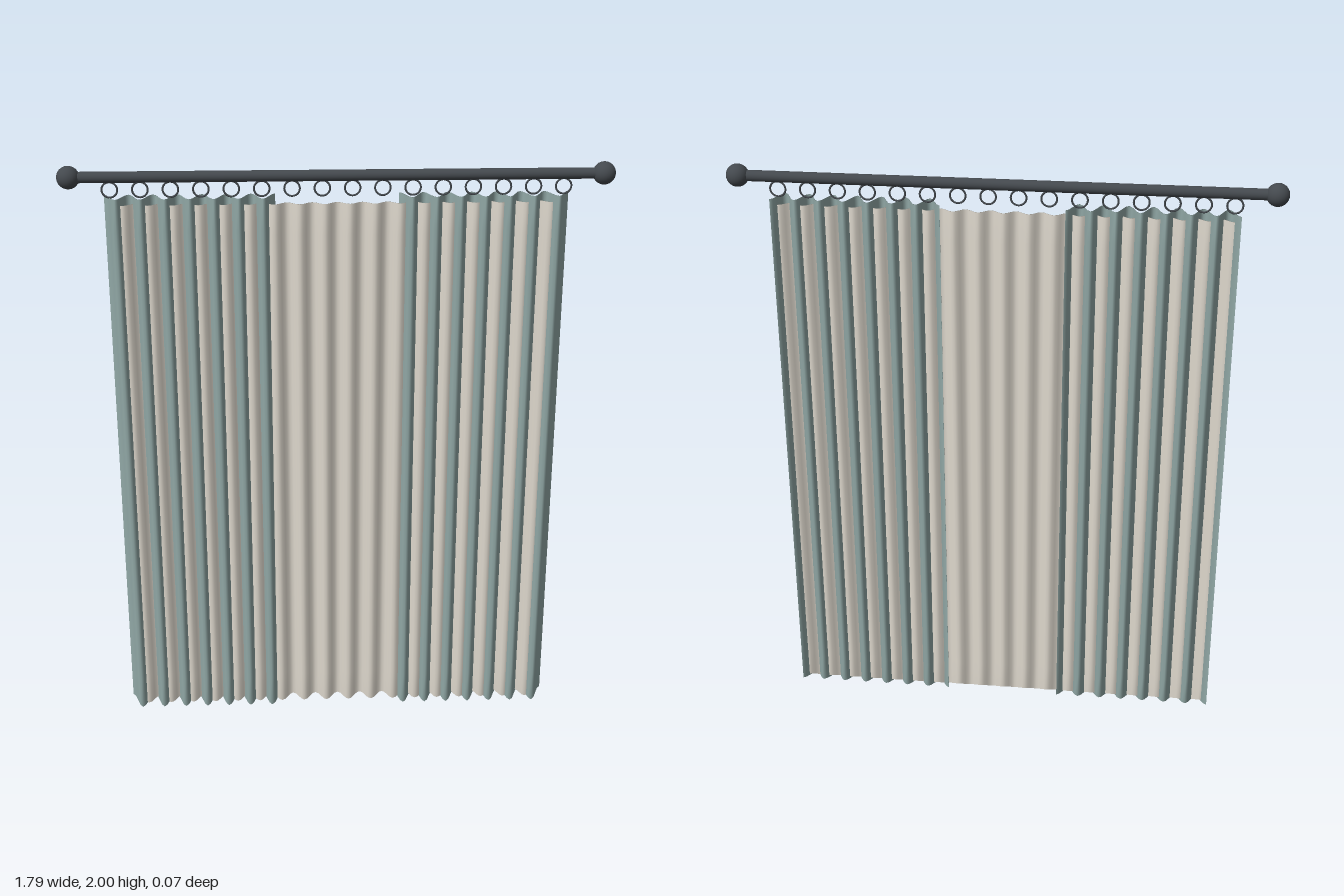
import * as THREE from 'three';
import { mergeVertices } from 'three/addons/utils/BufferGeometryUtils.js';

const material = (name, color) => {
  const m = new THREE.MeshStandardMaterial({ color });
  m.name = name;
  return m;
};

// Thin closed cloth sheet folded in a cosine wave, lower hem dipping on forward folds
function pleatedCloth(width, top, bottom, folds, amplitude, dip) {
  const height = top - bottom;
  let geo = new THREE.BoxGeometry(width, height, 0.003, folds * 8, 18, 1);
  const p = geo.attributes.position;
  for (let i = 0; i < p.count; i++) {
    const u = p.getX(i) / width + 0.5;
    const wave = -Math.cos(u * folds * Math.PI * 2);
    const y = p.getY(i) + height / 2;
    const hem = y < 0.001 ? -wave * dip : 0;
    p.setY(i, bottom + y + hem);
    p.setZ(i, p.getZ(i) + wave * amplitude);
  }
  geo.deleteAttribute('normal');
  geo.deleteAttribute('uv');
  geo = mergeVertices(geo, 1e-5);
  geo.computeVertexNormals();
  return geo;
}

export function createModel() {
  const model = new THREE.Group();
  model.name = 'curtains';
  const metal = material('dark metal', 0x44494e);
  const drapeCloth = material('grey green cloth', 0x92a9a7);
  const sheerCloth = material('cream cloth', 0xddd7cc);
  drapeCloth.side = sheerCloth.side = THREE.DoubleSide;

  const add = (name, geo, mat, x = 0, y = 0) => {
    const mesh = new THREE.Mesh(geo, mat);
    mesh.name = name;
    mesh.position.set(x, y, 0);
    model.add(mesh);
    return mesh;
  };

  // Rod with round finials
  const rodY = 1.963;
  add('rod', new THREE.CylinderGeometry(0.018, 0.018, 1.72, 24), metal, 0, rodY).rotation.z = Math.PI / 2;
  const ball = new THREE.SphereGeometry(0.037, 24, 16);

  // Outer drapes, one each side
  const drape = pleatedCloth(0.55, 1.897, 0.013, 7, 0.032, 0.008);
  for (const [side, s] of [['left', 1], ['right', -1]]) {
    add(side + 'Finial', ball, metal, s * 0.857, rodY);
    add(side + 'Drape', drape, drapeCloth, s * 0.475);
  }

  // Full-width inner curtain
  add('sheerCurtain', pleatedCloth(1.46, 1.872, 0.018, 18, 0.012, 0.008), sheerCloth);

  // Hanging rings
  const ring = new THREE.TorusGeometry(0.025, 0.0032, 8, 28);
  const count = 16;
  for (let i = 0; i < count; i++) {
    add('ring', ring, metal, -0.728 + (1.456 * i) / (count - 1), 1.922);
  }
  return model;
}
